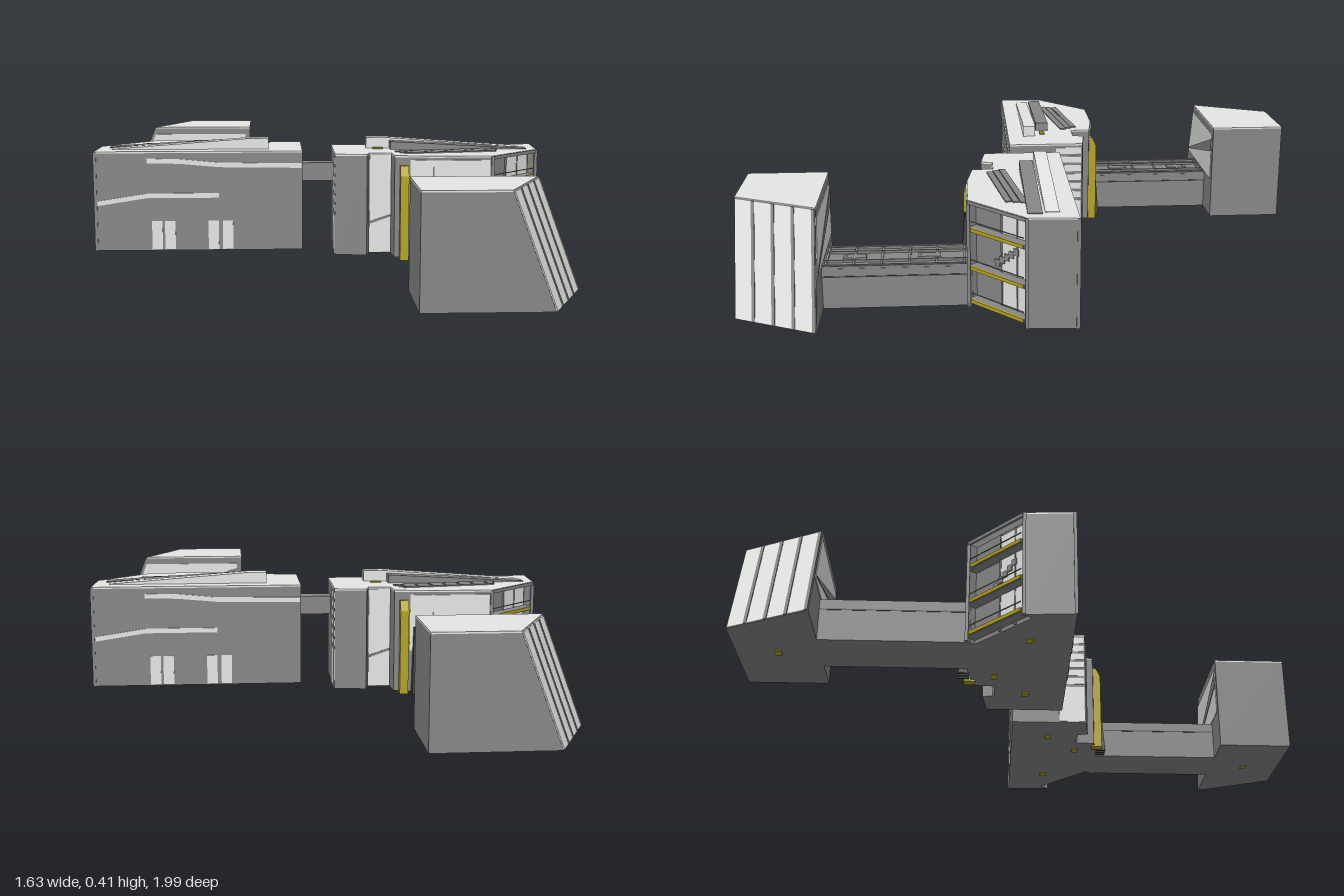
import * as THREE from 'three';

const paint = (name, color) => {
  const m = new THREE.MeshStandardMaterial({ color });
  m.name = name;
  return m;
};

// Flat-faced solid between a floor outline and a roof outline, points as [x, z]
function loft(lower, upper, y0, y1) {
  const pos = [];
  const area = (a, b, c) => (b[1] - a[1]) * (c[0] - a[0]) - (b[0] - a[0]) * (c[1] - a[1]);
  let sum = 0;
  lower.forEach((p, i) => {
    const q = lower[(i + 1) % lower.length];
    sum += p[1] * q[0] - p[0] * q[1];
  });
  const n = lower.length;
  const lo = sum > 0 ? lower : [...lower].reverse();
  const up = sum > 0 ? upper : [...upper].reverse();
  const put = (p, y) => pos.push(p[0], y, p[1]);
  for (let i = 0; i < n; i++) {
    const j = (i + 1) % n;
    put(lo[i], y0); put(lo[j], y0); put(up[j], y1);
    put(lo[i], y0); put(up[j], y1); put(up[i], y1);
  }
  for (const [ring, y, dir] of [[lo, y0, -1], [up, y1, 1]]) {
    const tris = THREE.ShapeUtils.triangulateShape(ring.map(p => new THREE.Vector2(p[0], p[1])), []);
    for (const [a, b, c] of tris) {
      const flip = area(ring[a], ring[b], ring[c]) * dir < 0;
      put(ring[a], y); put(ring[flip ? c : b], y); put(ring[flip ? b : c], y);
    }
  }
  const g = new THREE.BufferGeometry();
  g.setAttribute('position', new THREE.Float32BufferAttribute(pos, 3));
  g.computeVertexNormals();
  return g;
}

// Upright [x, y] outline given a depth from z0 to z1
function slice(points, z0, z1) {
  const shape = new THREE.Shape(points.map(p => new THREE.Vector2(p[0], p[1])));
  return new THREE.ExtrudeGeometry(shape, { depth: z1 - z0, bevelEnabled: false }).translate(0, 0, z0);
}

function buildWing(mat) {
  const wing = new THREE.Group();
  const add = (name, geo, m) => {
    const mesh = new THREE.Mesh(geo, m);
    mesh.name = name;
    wing.add(mesh);
  };
  const box = (name, m, x0, x1, y0, y1, z0, z1) => add(name,
    new THREE.BoxGeometry(x1 - x0, y1 - y0, z1 - z0).translate((x0 + x1) / 2, (y0 + y1) / 2, (z0 + z1) / 2), m);
  const prism = (name, m, pts, y0, y1) => add(name, loft(pts, pts, y0, y1), m);
  // Upright plate along the line a to b
  const plate = (name, m, a, b, y0, y1, t = 0.008) => {
    const l = Math.hypot(b[0] - a[0], b[1] - a[1]);
    const nx = (b[1] - a[1]) / l * t / 2, nz = -(b[0] - a[0]) / l * t / 2;
    prism(name, m, [[a[0] + nx, a[1] + nz], [b[0] + nx, b[1] + nz],
      [b[0] - nx, b[1] - nz], [a[0] - nx, a[1] - nz]], y0, y1);
  };

  // Main hall with a recessed diagonal front
  const A = [0.61, 0.252], B = [0.8, 0.075], A2 = [0.586, 0.225], B2 = [0.776, 0.048];
  const inner = [[0.4, 0.252], [0.265, 0.232], [0.26, 0.16], [0.18, 0.16], [0.17, 0.2],
    [0.057, 0.185], [0.057, -0.088], [0.81, -0.088]];
  prism('hallBody', mat.wall, [...inner, B, B2, A2, A], 0.006, 0.364);
  prism('hallRoof', mat.light, [...inner, B, A], 0.364, 0.37);
  plate('roofEdge', mat.wall, A, B, 0.357, 0.369, 0.008);
  for (const p of [A, B, [0.808, -0.085]]) {
    box('cornerPost', mat.wall, p[0] - 0.006, p[0] + 0.005, 0.006, 0.369, p[1] - 0.006, p[1] + 0.005);
  }

  // Diagonal front: glazing, floors, yellow edges, mullions, ramp
  const at = (p, q, t) => [p[0] + (q[0] - p[0]) * t, p[1] + (q[1] - p[1]) * t];
  plate('frontGlazing', mat.light, at(A2, B2, 0.46), at(A2, B2, 0.97), 0.02, 0.355);
  for (const y of [0.02, 0.135, 0.265]) {
    prism('floorSlab', mat.wall, [A, B, B2, A2], y, y + 0.014);
    plate('floorEdge', mat.yellow, at(A, B, 0.05), at(A, B, 0.95), y + 0.002, y + 0.014);
    plate('railing', mat.wall, at(A, B, 0.05), at(A, B, 0.95), y + 0.035, y + 0.038, 0.003);
  }
  for (const t of [0.46, 0.72]) plate('mullion', mat.wall, at(A2, B2, t - 0.012), at(A2, B2, t + 0.012), 0.01, 0.36, 0.012);
  const r0 = at(A2, B2, 0.35), r1 = at(A2, B2, 0.75);
  for (let i = 0; i < 5; i++) {
    plate('rampStep', mat.wall, at(r0, r1, i / 5), at(r0, r1, (i + 1) / 5), 0.165 + i * 0.014, 0.187 + i * 0.014, 0.016);
  }

  // Glazing beside the link and in the notch
  plate('sideGlazing', mat.light, [0.4, 0.252], [0.6, 0.252], 0.155, 0.355);
  plate('sideGlazing', mat.light, [0.32, 0.2405], [0.4, 0.252], 0.155, 0.355);
  plate('notchGlazing', mat.light, [0.182, 0.161], [0.258, 0.161], 0.01, 0.363);
  add('notchBand', slice([[0.185, 0.115], [0.258, 0.14], [0.258, 0.148], [0.185, 0.123]], 0.16, 0.168), mat.wall);

  // Banded panels on the inner end
  box('endPanel', mat.light, 0.054, 0.06, 0.01, 0.15, 0.085, 0.18);
  for (let i = 0; i < 6; i++) {
    box('endPanelBand', mat.light, 0.054, 0.06, 0.162 + i * 0.034, 0.186 + i * 0.034, 0.085, 0.18);
  }

  // Long wall: bent light strips and paired windows
  const strip = pts => add('wallStrip', slice([...pts, ...[...pts].reverse().map(p => [p[0], p[1] + 0.017])], -0.091, -0.086), mat.light);
  strip([[0.06, 0.308], [0.36, 0.312], [0.5, 0.325], [0.62, 0.328]]);
  strip([[0.36, 0.2], [0.62, 0.2], [0.8, 0.172]]);
  for (const x of [0.31, 0.362, 0.52, 0.567]) box('wallWindow', mat.light, x, x + 0.038, 0.01, 0.115, -0.091, -0.086);

  // Roof wedges, louvres and hatch
  add('lightRoofWedge', slice([[0.18, 0.365], [0.75, 0.365], [0.75, 0.372], [0.25, 0.409], [0.18, 0.409]], -0.03, 0.015), mat.light);
  add('darkRoofWedge', slice([[0.265, 0.365], [0.765, 0.365], [0.765, 0.373], [0.265, 0.4]], 0.023, 0.07), mat.wall);
  for (let i = 0; i < 3; i++) {
    const louvre = new THREE.BoxGeometry(0.38 - i * 0.02, 0.008, 0.021).rotateY(0.15);
    add('roofLouvre', louvre.translate(0.465 + i * 0.004, 0.37, 0.102 + i * 0.023), mat.wall);
  }
  box('roofHatch', mat.yellow, 0.203, 0.24, 0.368, 0.375, 0.035, 0.053);

  // Yellow pillar and leaning fins
  const rect = (x0, x1, z0, z1) => [[x0, z0], [x1, z0], [x1, z1], [x0, z1]];
  prism('pillar', mat.yellow, rect(0.283, 0.313, 0.225, 0.264), 0, 0.3);
  add('pillarCap', loft(rect(0.283, 0.313, 0.225, 0.264), rect(0.283, 0.313, 0.225, 0.247), 0.3, 0.335), mat.yellow);
  for (let i = 0; i < 3; i++) {
    const x = 0.332 + i * 0.021;
    add('fin', loft(rect(x - 0.006, x + 0.003, 0.245, 0.282), rect(x, x + 0.009, 0.24, 0.262), 0.002, 0.24), mat.dark);
  }

  // Low link with roof grid
  box('linkBody', mat.wall, 0.4, 0.6, 0.006, 0.143, 0.24, 0.73);
  for (const x of [0.404, 0.416, 0.458, 0.542, 0.584, 0.596]) {
    box('linkRail', mat.wall, x - 0.003, x + 0.003, 0.14, 0.151, 0.25, 0.725);
  }
  for (let i = 0; i < 6; i++) {
    const z = 0.265 + i * 0.09;
    box('linkRib', mat.wall, 0.402, 0.598, 0.14, 0.148, z - 0.004, z + 0.004);
  }
  for (const z of [0.38, 0.625]) {
    box('linkHatch', mat.wall, 0.482, 0.518, 0.141, 0.149, z - 0.038, z + 0.038);
    box('hatchMark', mat.light, 0.497, 0.503, 0.146, 0.151, z + 0.024, z + 0.032);
  }
  for (const x of [0.4, 0.6]) box('linkTrim', mat.dark, x - 0.002, x + 0.002, 0.113, 0.117, 0.25, 0.725);

  // Pavilion with one sloping side
  const outline = s => [[0.26, 0.725], [0.8 - s, 0.725], [0.665 - s, 0.997], [0.26, 0.997]];
  add('pavilionBody', loft(outline(0), outline(0.136), 0.006, 0.364), mat.wall);
  prism('pavilionRoof', mat.light, outline(0.138), 0.364, 0.37);

  // Sloping panels separated by ribs
  const slope = (name, m, z0, z1, out) => {
    const ring = s => [z0, z1].flatMap((z, i) => {
      const x = 0.8 - (z - 0.725) * 0.4963 - s;
      return i ? [[x + out, z], [x - 0.004, z]] : [[x - 0.004, z], [x + out, z]];
    });
    add(name, loft(ring(0), ring(0.136), 0.008, 0.366), m);
  };
  for (let i = 0; i < 4; i++) {
    const z = 0.728 + i * 0.067;
    slope('slopePanel', mat.light, z + 0.011, z + 0.066, 0.003);
    slope('slopeRib', mat.wall, z, z + 0.011, 0.005);
  }

  // Pavilion window above the link
  add('pavilionWindow', slice([[0.28, 0.155], [0.73, 0.155], [0.665, 0.34], [0.28, 0.34]], 0.7225, 0.727), mat.light);
  add('windowShade', slice([[0.28, 0.27], [0.72, 0.165], [0.715, 0.172], [0.28, 0.32]], 0.7205, 0.724), mat.wall);

  // Small pads under the floor
  for (const [x, z] of [[0.2, 0.05], [0.34, 0.16], [0.62, 0.05], [0.5, 0.86]]) {
    box('floorPad', mat.yellow, x - 0.016, x + 0.016, 0.003, 0.008, z - 0.012, z + 0.012);
  }
  return wing;
}

export function createModel() {
  const mat = {
    wall: paint('wall grey', 0x878787),
    light: paint('pale grey', 0xe7eae7),
    dark: paint('dark trim', 0x484848),
    yellow: paint('ochre yellow', 0xb4a422),
  };
  const model = new THREE.Group();
  model.name = 'buildingComplex';

  // Two identical wings, turned half a circle from each other
  const left = buildWing(mat), right = buildWing(mat);
  left.name = 'leftWing';
  right.name = 'rightWing';
  right.rotation.y = Math.PI;
  model.add(left, right);

  // Raised passage joining the wings
  const passage = new THREE.Mesh(new THREE.BoxGeometry(0.12, 0.066, 0.06), mat.wall);
  passage.name = 'passage';
  passage.position.y = 0.285;
  model.add(passage);
  return model;
}
